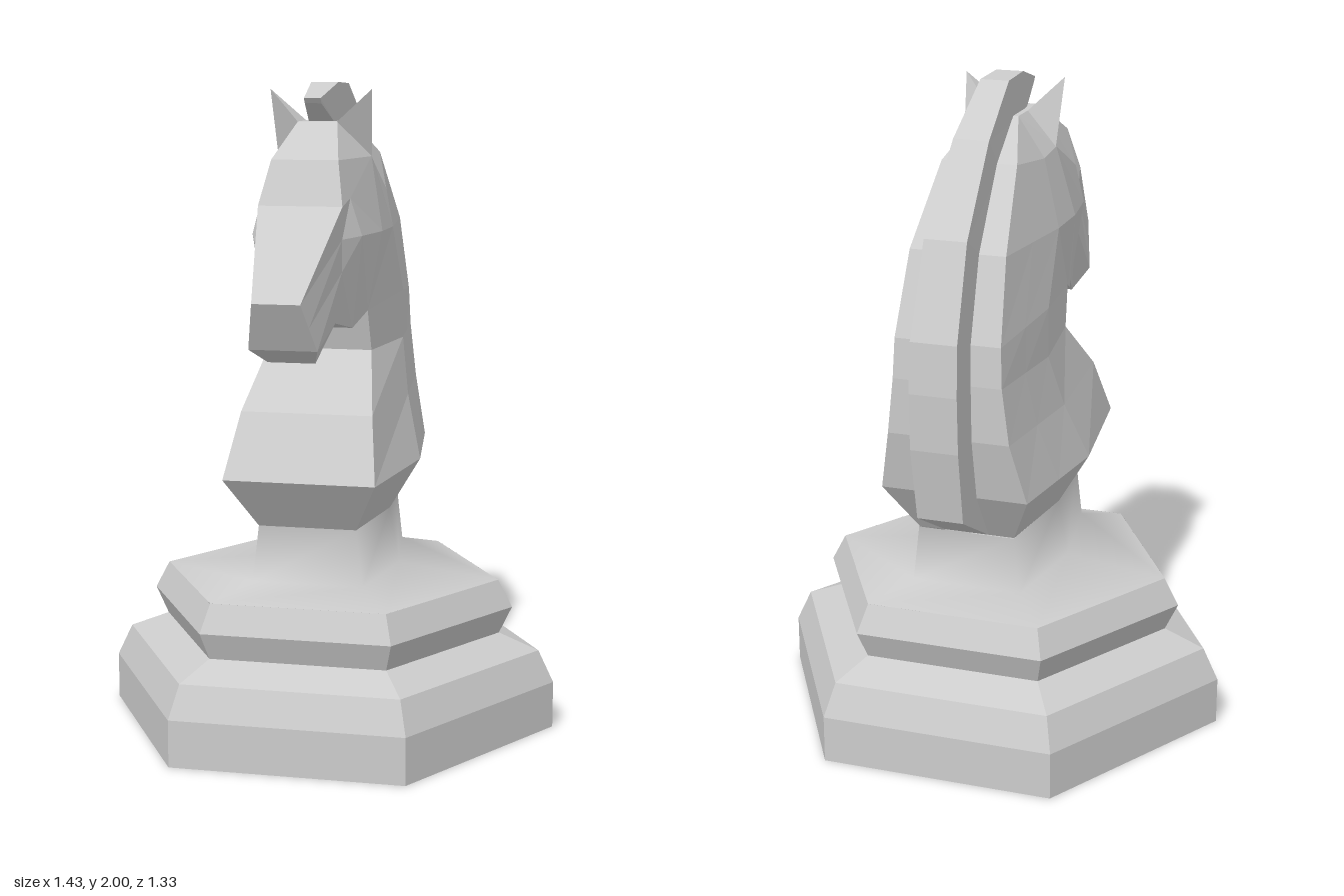
import * as THREE from 'three';

const flat = new THREE.MeshStandardMaterial({ color: 0xcccccc, flatShading: true, side: THREE.DoubleSide });
const smooth = new THREE.MeshStandardMaterial({ color: 0xcccccc, side: THREE.DoubleSide });
const CZ = -0.045; // centre of the base in z

// Mirror a half section (front to back, on +x) into a closed ring
const mirrorRing = half => [...half, ...half.map(([x, y, z]) => [-x, y, z]).reverse()];

// Skin a list of symmetric rings, with optional caps at both ends
function loft(rings, caps = true) {
  const n = rings[0].length, index = [];
  const quad = (a, b, c, d) => index.push(a, b, c, a, c, d);
  for (let i = 0; i < rings.length - 1; i++) {
    for (let j = 0; j < n; j++) {
      const k = (j + 1) % n;
      quad(i * n + j, i * n + k, (i + 1) * n + k, (i + 1) * n + j);
    }
  }
  if (caps) {
    const e = (rings.length - 1) * n;
    for (let k = 0; k < n / 2 - 1; k++) {
      quad(n - 1 - k, n - 2 - k, k + 1, k);
      quad(e + k, e + k + 1, e + n - 2 - k, e + n - 1 - k);
    }
  }
  const g = new THREE.BufferGeometry();
  g.setAttribute('position', new THREE.Float32BufferAttribute(rings.flat(2), 3));
  g.setIndex(index);
  g.computeVertexNormals();
  return g;
}

function part(group, name, geometry, material = flat) {
  const mesh = new THREE.Mesh(geometry, material);
  mesh.name = name;
  group.add(mesh);
  return mesh;
}

export function createModel() {
  const model = new THREE.Group();
  model.name = 'chessKnight';

  // Stepped hexagonal base
  const profile = [[0, 0], [0.713, 0], [0.713, 0.145], [0.665, 0.245], [0.54, 0.295],
    [0.58, 0.38], [0.535, 0.465]].map(p => new THREE.Vector2(...p));
  part(model, 'base', new THREE.LatheGeometry(profile, 6, Math.PI / 2)).position.z = CZ;

  // Smooth collar between base and bust: [y, side x, corner x, half depth]
  const collar = [[0.465, 0.535, 0.2675, 0.463], [0.505, 0.22, 0.17, 0.33], [0.68, 0.19, 0.15, 0.33]];
  part(model, 'collar', loft(collar.map(([y, sx, cx, d]) =>
    mirrorRing([[cx, y, CZ + d], [sx, y, CZ], [cx, y, CZ - d]])), false), smooth);

  // Bust: sections climb the neck, turn at the throat and run out to the muzzle.
  // Each section is [front/under, side, back/top, optional upper side].
  const throat = [0.155, 1.325, 0.145], cheek = [0.19, 1.56, -0.07];
  const sections = [
    [[0.15, 0.68, 0.285], [0.19, 0.68, CZ], [0.15, 0.68, -0.37]],
    [[0.23, 0.84, 0.405], [0.285, 0.84, CZ], [0.225, 0.84, -0.48]],
    [[0.2, 1.03, 0.295], [0.23, 1.03, -0.13], [0.185, 1.03, -0.525]],
    [[0.16, 1.2, 0.11], [0.2, 1.2, -0.2], [0.165, 1.2, -0.53]],
    [throat, [0.2, 1.35, -0.2], [0.16, 1.32, -0.522]],
    [throat, cheek, [0.145, 1.56, -0.43]],
    [throat, cheek, [0.115, 1.78, -0.24]],
    [throat, cheek, [0.06, 1.885, -0.06], [0.135, 1.76, -0.04]],
    [throat, [0.19, 1.56, 0.1], [0.06, 1.885, 0.14], [0.145, 1.78, 0.045]],
    [[0.13, 1.285, 0.25], [0.165, 1.56, 0.28], [0.1, 1.78, 0.31]],
    [[0.1, 1.31, 0.35], [0.12, 1.46, 0.35], [0.125, 1.65, 0.37]],
    [[0.07, 1.21, 0.48], [0.1, 1.26, 0.585], [0.07, 1.4, 0.665]],
  ];
  part(model, 'neckAndHead', loft(sections.map(([front, side, back, upper]) =>
    mirrorRing([front, side, upper || side.map((v, i) => (v + back[i]) / 2), back]))));

  // Mane from collar to forelock: [half width, outer y, outer z, inner y, inner z]
  const mane = [
    [0.07, 0.805, -0.597, 0.68, -0.37], [0.072, 1.03, -0.64, 1.03, -0.5],
    [0.072, 1.2, -0.647, 1.2, -0.5], [0.07, 1.35, -0.635, 1.3, -0.5],
    [0.064, 1.62, -0.53, 1.55, -0.41], [0.054, 1.86, -0.31, 1.76, -0.22],
    [0.044, 1.995, -0.1, 1.87, -0.05], [0.042, 2, 0.04, 1.87, 0.06],
    [0.025, 1.955, 0.212, 1.94, 0.2],
  ];
  part(model, 'mane', loft(mane.map(([w, oy, oz, iy, iz]) => mirrorRing([[w, iy, iz], [w, oy, oz]]))));

  // Ears: pointed three-sided shells
  for (const s of [1, -1]) {
    const tip = [0.155, 1.98, 0.095], a = [0.06, 1.885, 0.145], b = [0.145, 1.78, 0.04], c = [0.06, 1.885, 0.03];
    const corners = [a, b, tip, b, c, tip, c, a, tip].map(([x, y, z]) => [s * x, y, z]);
    if (s < 0) corners.reverse();
    const g = new THREE.BufferGeometry();
    g.setAttribute('position', new THREE.Float32BufferAttribute(corners.flat(), 3));
    g.computeVertexNormals();
    part(model, s > 0 ? 'leftEar' : 'rightEar', g);
  }
  return model;
}
